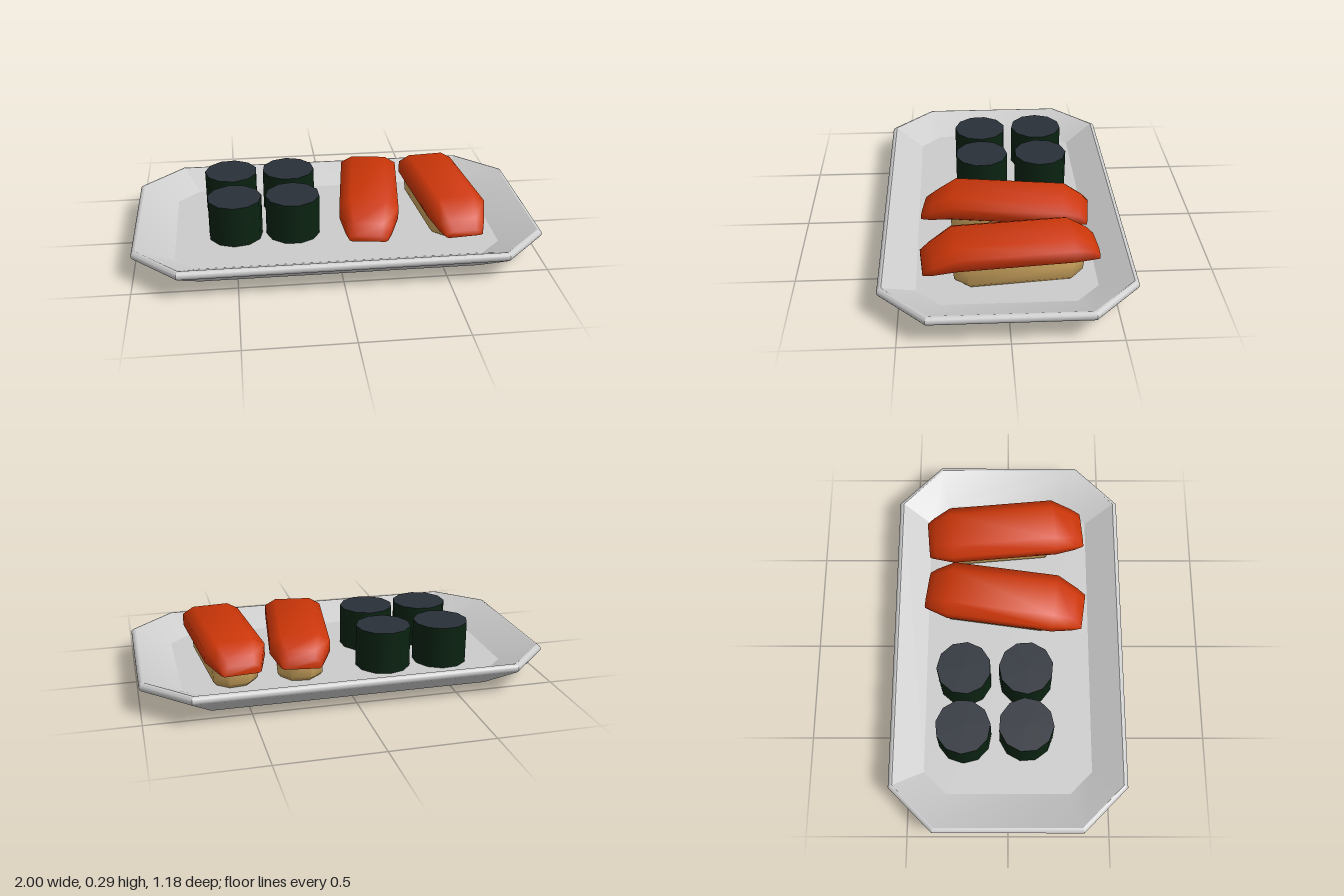
import * as THREE from 'three';
import { toCreasedNormals } from 'three/addons/utils/BufferGeometryUtils.js';

const FLOOR = 0.068;
const mat = (color) => new THREE.MeshStandardMaterial({ color });

// Skin a list of equal-length rings, counter-clockwise about the travel axis, and cap both ends
function loft(rings, crease) {
  const pos = [];
  const tri = (a, b, c) => pos.push(...a, ...b, ...c);
  const n = rings[0].length;
  for (let k = 0; k < rings.length - 1; k++) {
    for (let i = 0; i < n; i++) {
      const j = (i + 1) % n;
      const [a, b, c, d] = [rings[k][i], rings[k][j], rings[k + 1][j], rings[k + 1][i]];
      tri(a, b, c);
      tri(a, c, d);
    }
  }
  const first = rings[0], last = rings[rings.length - 1];
  for (let i = 1; i < n - 1; i++) {
    tri(first[0], first[i + 1], first[i]);
    tri(last[0], last[i], last[i + 1]);
  }
  const g = new THREE.BufferGeometry();
  g.setAttribute('position', new THREE.Float32BufferAttribute(pos, 3));
  return toCreasedNormals(g, crease);
}

// Horizontal rectangle with cut corners: height, half width, half depth, corner cut
function cutRing([y, w, d, c]) {
  return [[w - c, d], [w, d - c], [w, c - d], [w - c, -d], [c - w, -d], [-w, c - d], [-w, d - c], [c - w, d]]
    .map(([x, z]) => [x, y, z]);
}

// Fish slice cross-section: z, half width, bottom, top
function fishRing([z, w, y0, y1]) {
  const h = y1 - y0;
  return [[0.85, 0], [1, 0.15], [1, 0.7], [0.62, 1], [-0.62, 1], [-1, 0.7], [-1, 0.15], [-0.85, 0]]
    .map(([x, t]) => [x * w, y0 + t * h, z]);
}

function add(parent, name, geometry, material) {
  const mesh = new THREE.Mesh(geometry, material);
  mesh.name = name;
  parent.add(mesh);
  return mesh;
}

export function createModel() {
  const model = new THREE.Group();
  model.name = 'sushiPlate';

  // Plate: outside wall, rounded rim, inside wall and sunken floor
  const plate = [[0, 0.80, 0.42, 0.12]];
  for (let i = 0; i <= 8; i++) {
    const a = -Math.PI / 3 + (i / 8) * (Math.PI * 5 / 6);
    const inset = 0.022 * (1 - Math.cos(a));
    plate.push([0.128 + 0.022 * Math.sin(a), 1 - inset, 0.59 - inset, 0.22 - 0.6 * inset]);
  }
  plate.push([FLOOR, 0.80, 0.42, 0.11]);
  add(model, 'plate', loft(plate.map(cutRing), 0.36), mat(0xcccccc));

  // Four seaweed rolls
  const rollSide = mat(0x0b2312), rollEnd = mat(0x2a3039);
  const rollHeight = 0.277 - FLOOR;
  const rollGeo = new THREE.CylinderGeometry(0.136, 0.136, rollHeight, 11);
  [[-0.51, -0.22, 0.1], [-0.21, -0.22, 0.3], [-0.5, 0.09, 0.5], [-0.21, 0.09, 0.2]].forEach(([x, z, turn], i) => {
    const roll = add(model, `roll${i + 1}`, rollGeo, [rollSide, rollEnd, rollEnd]);
    roll.position.set(x, FLOOR + rollHeight / 2, z);
    roll.rotation.y = turn;
  });

  // Two fish slices draped over rice blocks
  const fishGeo = loft([
    [-0.41, 0.095, 0.165, 0.21],
    [-0.375, 0.11, 0.168, 0.245],
    [-0.285, 0.145, 0.182, 0.29],
    [0.255, 0.145, 0.182, 0.29],
    [0.36, 0.112, 0.155, 0.222],
    [0.408, 0.092, 0.15, 0.18],
  ].map(fishRing), 1.2);
  const riceGeo = loft([
    [FLOOR, 0.09, 0.28, 0.05],
    [0.09, 0.108, 0.302, 0.06],
    [0.16, 0.112, 0.308, 0.06],
    [0.19, 0.105, 0.3, 0.055],
  ].map(cutRing), 0.95);
  const fishMat = mat(0xcc3608), riceMat = mat(0xcca45e);
  [[0.19, -0.138], [0.568, 0.09]].forEach(([x, turn], i) => {
    const piece = new THREE.Group();
    piece.name = i ? 'leftNigiri' : 'rightNigiri';
    add(piece, 'fishSlice', fishGeo, fishMat);
    add(piece, 'rice', riceGeo, riceMat).position.z = -0.04;
    piece.position.set(x, 0, -0.013);
    piece.rotation.y = turn;
    model.add(piece);
  });

  return model;
}
